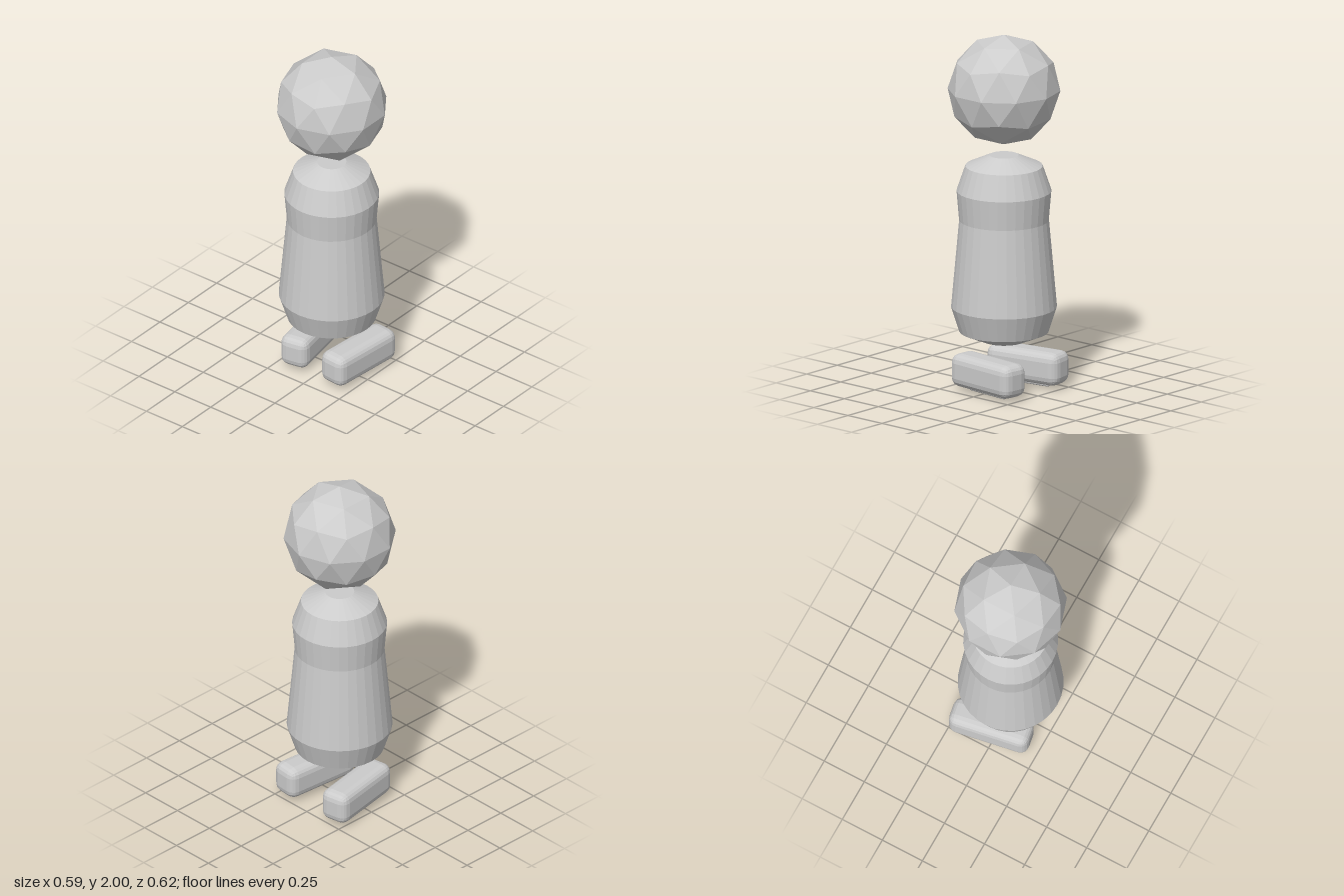
import * as THREE from 'three';
import { RoundedBoxGeometry } from 'three/addons/geometries/RoundedBoxGeometry.js';

const material = new THREE.MeshStandardMaterial({ color: 0xcccccc, flatShading: true });

function part(name, geometry, parent, y = 0) {
  const mesh = new THREE.Mesh(geometry, material);
  mesh.name = name;
  mesh.position.y = y;
  parent.add(mesh);
  return mesh;
}

// Rounded foot with a thin runner underneath, toe turned inwards by `yaw`
function makeFoot(name, x, yaw) {
  const foot = new THREE.Group();
  foot.name = name;
  part('shoe', new RoundedBoxGeometry(0.17, 0.185, 0.46, 2, 0.05), foot, 0.113);
  part('sole', new RoundedBoxGeometry(0.03, 0.034, 0.28, 2, 0.012), foot, 0.017);
  foot.position.set(x, 0, -0.03);
  foot.rotation.y = THREE.MathUtils.degToRad(yaw);
  return foot;
}

export function createModel() {
  const model = new THREE.Group();
  model.name = 'figure';

  // Faceted head, turned so a five-sided corner points straight up
  const head = part('head', new THREE.IcosahedronGeometry(0.31, 1), model, 1.69);
  head.rotation.z = -Math.atan(2 / (1 + Math.sqrt(5)));

  // Turned body, profile from bottom to top
  const profile = [
    [0, 0.27], [0.115, 0.27], [0.245, 0.325], [0.29, 0.465],
    [0.246, 0.955], [0.26, 1.12], [0.212, 1.26], [0.08, 1.32], [0, 1.32],
  ].map(([r, y]) => new THREE.Vector2(r, y));
  part('body', new THREE.LatheGeometry(profile, 32), model);

  // Feet, the right one turned in further
  model.add(makeFoot('leftFoot', 0.163, -5));
  model.add(makeFoot('rightFoot', -0.163, 10));

  return model;
}
